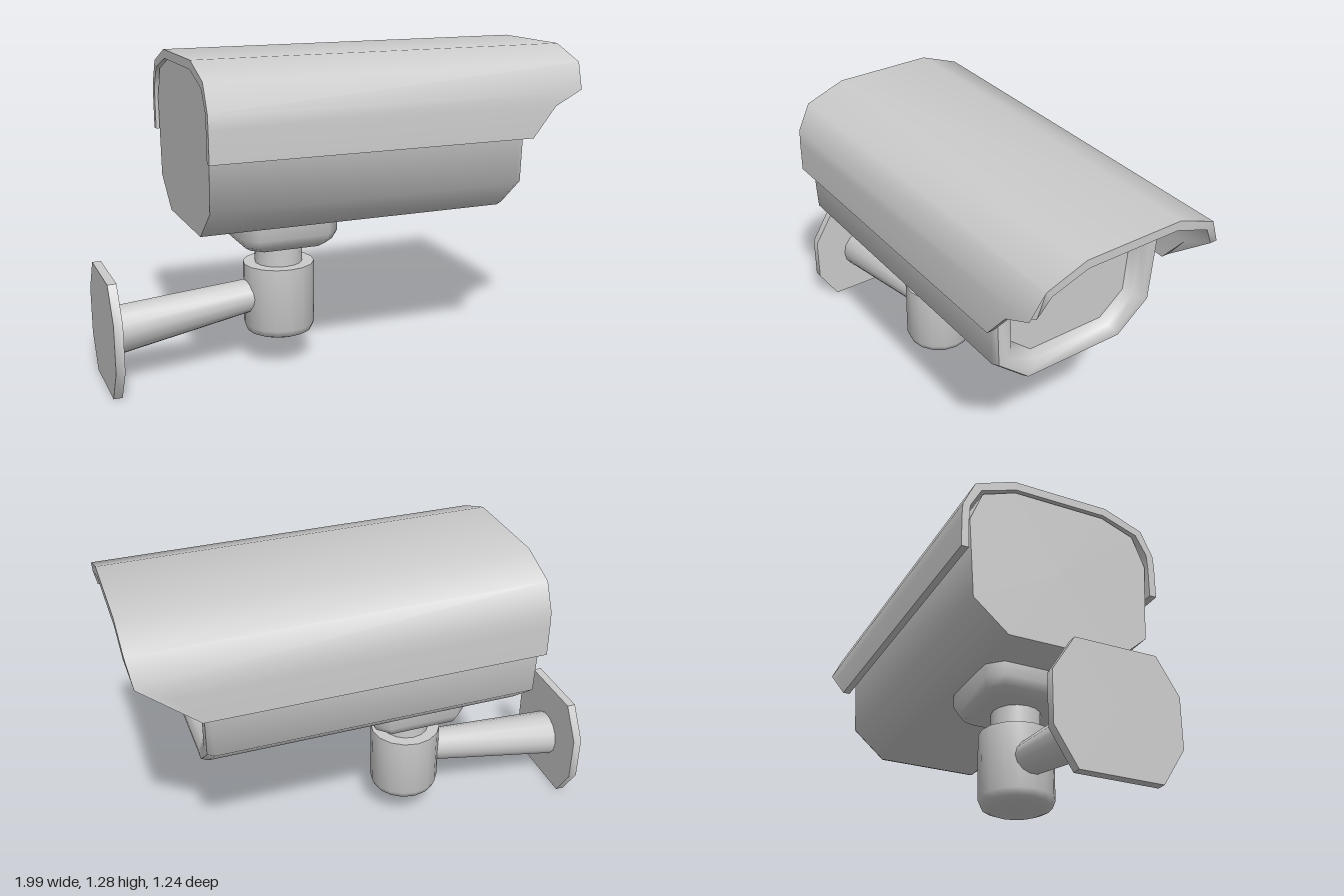
import * as THREE from 'three';
import { toCreasedNormals } from 'three/addons/utils/BufferGeometryUtils.js';

const CREASE = 1.0;

// Mirrors a half outline of [side, up] points, listed top to bottom, into a closed loop.
const mirrored = (half) => [...half, ...half.map(([w, y]) => [-w, y]).reverse()];

// Joins outlines placed along x, rear to front, and closes both ends.
// Each station is [x, scale]; scaling is about the height cy.
function loft(outline, stations, cy = 0) {
  const n = outline.length, pos = [], idx = [];
  for (const [x, s] of stations)
    for (const [w, y] of outline) pos.push(x, cy + (y - cy) * s, w * s);
  const last = (stations.length - 1) * n, rear = pos.length / 3;
  pos.push(stations[0][0], cy, 0, stations[stations.length - 1][0], cy, 0);
  for (let i = 0; i < n; i++) {
    const j = (i + 1) % n;
    for (let k = 0; k < last; k += n)
      idx.push(k + i, k + j, k + n + j, k + i, k + n + j, k + n + i);
    idx.push(rear, j, i, rear + 1, last + i, last + j);
  }
  const g = new THREE.BufferGeometry();
  g.setAttribute('position', new THREE.Float32BufferAttribute(pos, 3));
  g.setIndex(idx);
  return g;
}

// Open-bottomed cover, with the sides of its front end cut back.
function hoodGeometry() {
  const outer = [[0.413, 0.937], [0.413, 1.06], [0.41, 1.12], [0.36, 1.225], [0.2, 1.285]];
  const inner = [[0.384, 0.937], [0.384, 1.06], [0.38, 1.12], [0.335, 1.2], [0.19, 1.25]];
  const flip = (p) => p.map(([w, y]) => [-w, y]);
  const loop = [...outer, ...flip(outer).reverse(), ...flip(inner), ...[...inner].reverse()];
  const shape = new THREE.Shape(loop.map(([w, y]) => new THREE.Vector2(w, y)));
  const g = new THREE.ExtrudeGeometry(shape, { depth: 1, bevelEnabled: false });
  const cut = [[0.937, 0.937], [1.06, 1.035], [1.12, 1.155], [1.2, 1.17], [1.3, 1.17]];
  const frontAt = (y) => {
    let k = 0;
    while (k < cut.length - 2 && y > cut[k + 1][0]) k++;
    const [a, b] = [cut[k], cut[k + 1]];
    return THREE.MathUtils.mapLinear(y, a[0], b[0], a[1], b[1]);
  };
  const p = g.attributes.position;
  for (let i = 0; i < p.count; i++) p.setZ(i, p.getZ(i) > 0.5 ? frontAt(p.getY(i)) : -0.397);
  return g.rotateY(Math.PI / 2);
}

export function createModel() {
  const model = new THREE.Group();
  model.name = 'securityCamera';
  const material = new THREE.MeshStandardMaterial({ color: 0xcccccc });
  // Everything is built along x around the joint, then turned
  const turned = new THREE.Group();
  turned.name = 'cameraAssembly';
  turned.position.set(-0.235, 0, -0.108);
  turned.rotation.y = -0.297;
  model.add(turned);

  const add = (name, geometry) => {
    const mesh = new THREE.Mesh(toCreasedNormals(geometry, CREASE), material);
    mesh.name = name;
    turned.add(mesh);
    return mesh;
  };

  // Housing with rounded front rim and recessed window
  const housing = mirrored([[0.19, 1.245], [0.325, 1.195], [0.376, 1.07], [0.359, 0.745], [0.22, 0.625]]);
  add('housing', loft(housing, [
    [-0.385, 1], [0.895, 1], [0.922, 0.97], [0.925, 0.88], [0.905, 0.79], [0.865, 0.75],
  ], 0.935));
  add('hood', hoodGeometry());

  // Mounting block under the housing
  const block = mirrored([[0.145, 0.2], [0.2, 0.145], [0.2, -0.145], [0.145, -0.2]]);
  add('mountingBlock', loft(block, [[0.515, 0.78], [0.535, 0.92], [0.57, 1], [0.66, 1]]).rotateZ(Math.PI / 2));

  // Neck and joint
  add('neck', new THREE.CylinderGeometry(0.097, 0.097, 0.16, 16)).position.y = 0.47;
  const jointProfile = [[0, 0.125], [0.105, 0.125], [0.135, 0.138], [0.146, 0.165], [0.146, 0.425], [0, 0.425]];
  add('joint', new THREE.LatheGeometry(jointProfile.map(([r, y]) => new THREE.Vector2(r, y)), 16));

  // Tapered arm from wall plate to joint
  const from = new THREE.Vector3(-0.71, 0.215, 0), to = new THREE.Vector3(-0.08, 0.298, 0);
  const along = to.clone().sub(from);
  const arm = add('arm', new THREE.CylinderGeometry(0.066, 0.098, along.length(), 14));
  arm.position.copy(from).add(to).multiplyScalar(0.5);
  arm.quaternion.setFromUnitVectors(new THREE.Vector3(0, 1, 0), along.normalize());

  // Eight-sided wall plate
  const plate = mirrored([[0.155, 0.23], [0.24, 0.095], [0.24, -0.095], [0.155, -0.23]]);
  add('wallPlate', loft(plate, [[-0.73, 1], [-0.695, 1]])).position.y = 0.23;

  return model;
}
